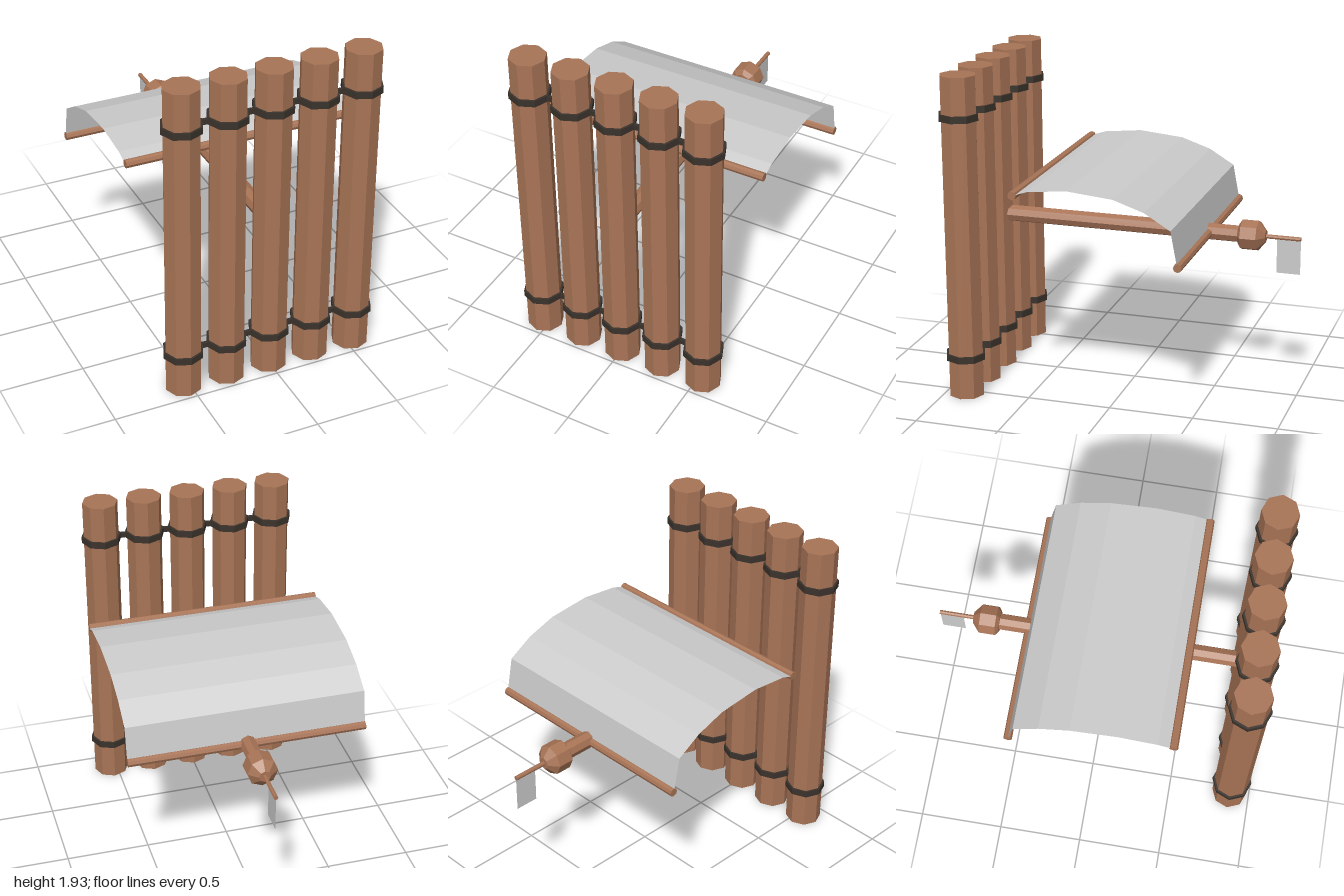
import * as THREE from 'three';

const mat = (color, side = THREE.FrontSide) =>
  new THREE.MeshStandardMaterial({ color, flatShading: true, side });

export function createModel() {
  const group = new THREE.Group();
  const wood = mat(0xa87456);
  const rope = mat(0x3a322c);
  const cloth = mat(0xcccccc, THREE.DoubleSide);

  const add = (name, geometry, material, x, y, z) => {
    const mesh = new THREE.Mesh(geometry, material);
    mesh.name = name;
    mesh.position.set(x, y, z);
    group.add(mesh);
    return mesh;
  };
  const rod = (r, length, sides = 8) => new THREE.CylinderGeometry(r, r, length, sides);

  // Deck: five upright logs, each wrapped by two rope bands
  const deckZ = 0.877, spacing = 0.267, logHeight = 1.93;
  const bandHeights = [0.245, 1.69];
  for (let i = -2; i <= 2; i++) {
    const x = i * spacing;
    add('log', rod(0.107, logHeight), wood, x, logHeight / 2, deckZ);
    for (const y of bandHeights) add('ropeBand', rod(0.12, 0.04), rope, x, y, deckZ);
  }

  // Short rope links between neighbouring logs
  for (const y of bandHeights) {
    for (let i = -1.5; i <= 1.5; i++) {
      add('ropeLink', new THREE.BoxGeometry(0.06, 0.03, 0.02), rope, i * spacing, y, deckZ);
    }
  }

  // Mast, lookout basket and flag pole run backward from the deck
  const mastY = 0.97;
  add('mast', rod(0.05, 1.44).rotateX(Math.PI / 2), wood, 0, mastY, 0.08);
  const basket = [[0, 0], [0.06, 0], [0.09, 0.02], [0.09, 0.115], [0.035, 0.16], [0, 0.16]]
    .map(([r, h]) => new THREE.Vector2(r, h));
  add('lookout', new THREE.LatheGeometry(basket, 8).rotateX(-Math.PI / 2), wood, 0, mastY, -0.635);
  add('flagPole', rod(0.013, 0.22).rotateX(Math.PI / 2), wood, 0, mastY, -0.89);
  add('flag', new THREE.PlaneGeometry(0.14, 0.21).rotateY(Math.PI / 2), cloth, 0, 0.86, -0.93);

  // Sail: a billowing profile (z, y) swept across the width
  const halfWidth = 0.705;
  const profile = [[-0.46, 0.97], [-0.42, 1.18], [-0.27, 1.27], [-0.09, 1.33],
    [0.18, 1.355], [0.41, 1.33], [0.5, 1.3]];
  const sail = new THREE.PlaneGeometry(2 * halfWidth, 1, 1, profile.length - 1);
  const pos = sail.attributes.position;
  for (let i = 0; i < pos.count; i++) {
    const [z, y] = profile[Math.floor(i / 2)];
    pos.setXYZ(i, pos.getX(i), y, z);
  }
  sail.computeVertexNormals();
  add('sail', sail, cloth, 0, 0, 0);

  // Yards along the two sail edges
  for (const [z, y] of [profile[0], profile[profile.length - 1]]) {
    add('yard', rod(0.025, 2 * halfWidth).rotateZ(Math.PI / 2), wood, 0, y, z);
  }

  return group;
}
